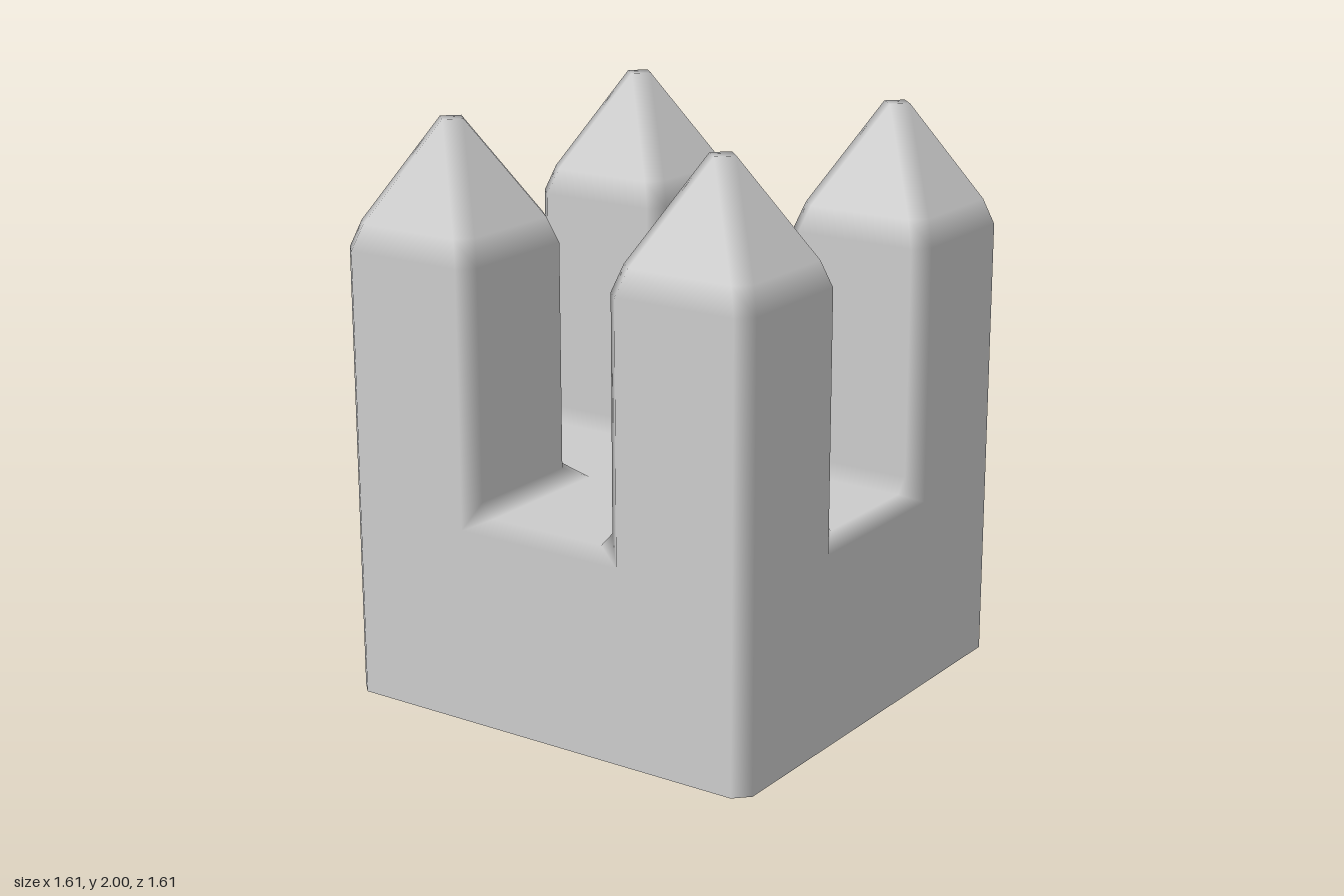
import * as THREE from 'three';

const H = 0.805;          // outer wall plane
const IN = 0.265;         // inner tower plane
const C = 0.045;          // bevel width
const MID = (H + IN) / 2; // tower axis
const R = (H - IN) / 2;   // tower half width
const DECK = 0.725;
const RIM = DECK - C;     // top of the outer wall, below the rim bevel
const FOOT = DECK + 0.05; // bottom of the inner tower walls

const X = [1, 0, 0], Y = [0, 1, 0], Z = [0, 0, 1], NX = [-1, 0, 0];

// Each vertex carries the normal of its main face, so only the bevels blend.
const v = (x, y, z, n) => ({ p: new THREE.Vector3(x, y, z), n: new THREE.Vector3(...n).normalize() });
const swap = (a) => v(a.p.z, a.p.y, a.p.x, [a.n.z, a.n.y, a.n.x]);

class Surface {
  constructor() { this.pos = []; this.nor = []; }

  // Triangle, wound to agree with its vertex normals
  tri(a, b, c) {
    const g = b.p.clone().sub(a.p).cross(c.p.clone().sub(a.p));
    if (g.length() < 1e-8) return;
    const out = a.n.clone().add(b.n).add(c.n);
    for (const q of g.dot(out) < 0 ? [a, c, b] : [a, b, c]) {
      this.pos.push(...q.p.toArray());
      this.nor.push(...q.n.toArray());
    }
  }

  quad(a, b, c, d) { this.tri(a, b, c); this.tri(a, c, d); }

  // Adds a face and its twin across the diagonal x = z
  twin(...f) {
    for (const q of [f, f.map(swap)]) q.length === 3 ? this.tri(...q) : this.quad(...q);
  }

  geometry() {
    const g = new THREE.BufferGeometry();
    g.setAttribute('position', new THREE.Float32BufferAttribute(this.pos, 3));
    g.setAttribute('normal', new THREE.Float32BufferAttribute(this.nor, 3));
    return g;
  }
}

// Point on tower side k: a = distance from axis, b = signed offset along the side
function sidePoint(k, a, b, y, rise = 0) {
  const nx = Math.round(Math.cos(k * Math.PI / 2)), nz = Math.round(Math.sin(k * Math.PI / 2));
  return v(MID + a * nx - b * nz, y, MID + a * nz + b * nx, [nx, rise, nz]);
}

// Stacks bevelled square rings; level(k) returns [halfWidth, y, rise]
function loftRings(s, levels) {
  for (let i = 0; i + 1 < levels.length; i++) {
    const pt = (lev, k, side) => {
      const [a, y, rise] = lev(k % 4);
      return sidePoint(k, a, side * Math.max(0, a - 0.05), y, rise);
    };
    const lo = levels[i], hi = levels[i + 1];
    for (let k = 0; k < 4; k++) {
      s.quad(pt(lo, k, -1), pt(lo, k, 1), pt(hi, k, 1), pt(hi, k, -1));                 // side
      s.quad(pt(lo, k, 1), pt(lo, k + 1, -1), pt(hi, k + 1, -1), pt(hi, k, 1));         // corner bevel
    }
  }
}

function towerGeometry() {
  const s = new Surface();
  loftRings(s, [(k) => [R, k < 2 ? RIM : FOOT, 0], () => [R, 1.57, 0]]);
  return s.geometry();
}

function roofGeometry() {
  const s = new Surface(), rise = 0.19 / 0.34;
  loftRings(s, [() => [R, 1.57, 0], () => [0.24, 1.66, rise], () => [0.05, 2, rise]]);
  // blunt tip
  s.quad(...[0, 1, 2, 3].map((k) => sidePoint(k, 0.05, 0, 2, rise)));
  return s.geometry();
}

function wallGeometry() {
  const s = new Surface(), e = R - 0.05, far = MID + e;
  s.twin(v(0, 0, H, Z), v(far, 0, H, Z), v(far, RIM, H, Z), v(0, RIM, H, Z));
  // outer corner bevel
  s.quad(v(far, 0, H, Z), v(H, 0, far, X), v(H, RIM, far, X), v(far, RIM, H, Z));
  return s.geometry();
}

function deckGeometry() {
  const s = new Surface(), e = R - 0.05;
  const near = MID - e, far = MID + e, d = IN - C;
  const deckIn = v(d, DECK, d, Y), deckOut = v(d, DECK, far, Y);
  const wallIn = v(IN, FOOT, near, NX), wallOut = v(IN, FOOT, far, NX);
  const front = v(near, RIM, H, Z);
  // cross-shaped floor
  s.quad(v(0, DECK, 0, Y), v(d, DECK, 0, Y), deckIn, v(0, DECK, d, Y));
  s.twin(v(0, DECK, d, Y), deckIn, deckOut, v(0, DECK, far, Y));
  // rim bevel, tower foot bevel and the corner pieces joining them
  s.twin(v(0, RIM, H, Z), front, deckOut, v(0, DECK, far, Y));
  s.twin(deckIn, wallIn, wallOut, deckOut);
  s.twin(front, wallOut, deckOut);
  s.tri(deckIn, wallIn, swap(wallIn));
  return s.geometry();
}

export function createModel() {
  const model = new THREE.Group();
  model.name = 'fourTowerBlock';
  // open-bottomed thin shell
  const material = new THREE.MeshStandardMaterial({ color: 0xcccccc, side: THREE.DoubleSide });
  const parts = {
    outerWall: wallGeometry(),
    deck: deckGeometry(),
    tower: towerGeometry(),
    roof: roofGeometry(),
  };
  for (let i = 0; i < 4; i++) {
    const quarter = new THREE.Group();
    quarter.name = `quarter${i + 1}`;
    quarter.rotation.y = i * Math.PI / 2;
    for (const [name, geometry] of Object.entries(parts)) {
      const mesh = new THREE.Mesh(geometry, material);
      mesh.name = name;
      quarter.add(mesh);
    }
    model.add(quarter);
  }
  return model;
}
